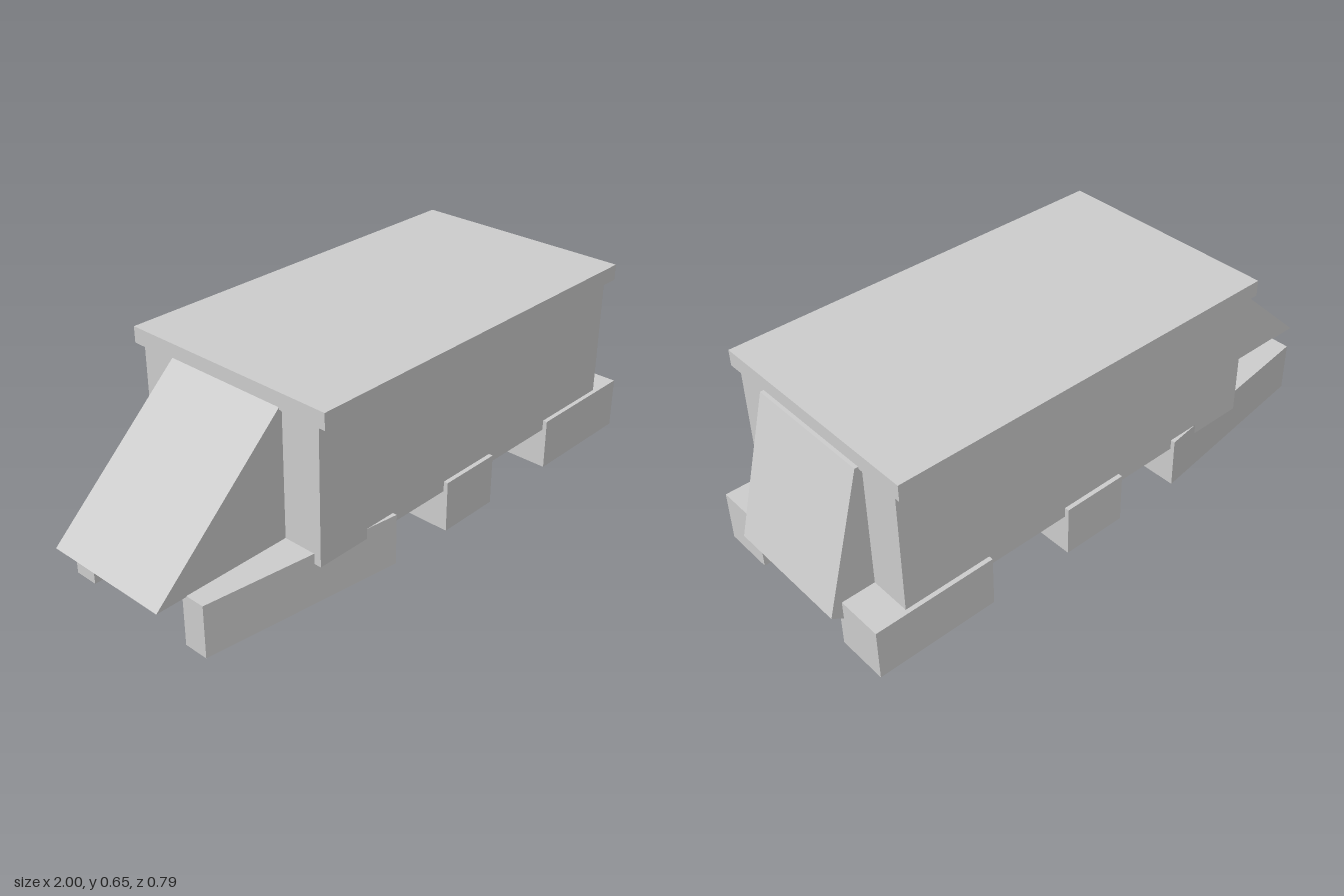
import * as THREE from 'three';

const material = new THREE.MeshStandardMaterial({ color: 0xcccccc, flatShading: true });

export function createModel() {
  const model = new THREE.Group();

  const add = (name, geometry) => {
    const mesh = new THREE.Mesh(geometry, material);
    mesh.name = name;
    model.add(mesh);
    return mesh;
  };

  // Box given by its limits on each axis
  const box = (name, [x0, x1], [y0, y1], [z0, z1]) =>
    add(name, new THREE.BoxGeometry(x1 - x0, y1 - y0, z1 - z0)
      .translate((x0 + x1) / 2, (y0 + y1) / 2, (z0 + z1) / 2));

  const prism = (points, depth) => new THREE.ExtrudeGeometry(
    new THREE.Shape(points.map(([a, b]) => new THREE.Vector2(a, b))),
    { depth, bevelEnabled: false });

  // Side profile in x, y, extruded evenly about z = 0
  const wedge = (name, points, halfWidth) =>
    add(name, prism(points, halfWidth * 2).translate(0, 0, -halfWidth));

  // Main hull and overhanging roof slab
  box('body', [-0.525, 0.845], [0.14, 0.6], [-0.362, 0.362]);
  box('roof', [-0.535, 0.855], [0.598, 0.652], [-0.394, 0.394]);

  // Long sloping nose and steep end with an undercut
  wedge('longSlope', [[-0.52, 0.605], [-0.535, 0.605], [-1, 0.172], [-0.52, 0.172]], 0.222);
  wedge('steepSlope', [[0.84, 0.605], [0.867, 0.605], [0.996, 0.138], [0.87, 0.055], [0.84, 0.055]], 0.222);
  box('lowerLip', [0.835, 0.86], [0.032, 0.15], [-0.215, 0.215]);

  // Three feet on each side; the long pair tapers towards the nose
  const top = 0.175, inner = 0.205, outer = 0.377;
  for (const side of [1, -1]) {
    const range = side > 0 ? [inner, outer] : [-outer, -inner];
    box('endFoot', [0.545, 0.957], [0, top], range);
    box('middleFoot', [0.02, 0.247], [0, top], range);

    const plan = [[-0.897, inner], [-0.218, inner], [-0.218, outer], [-0.897, 0.288]]
      .map(([x, z]) => [x, -z * side]);
    add('taperedFoot', prism(plan, top).rotateX(-Math.PI / 2));
  }

  return model;
}
